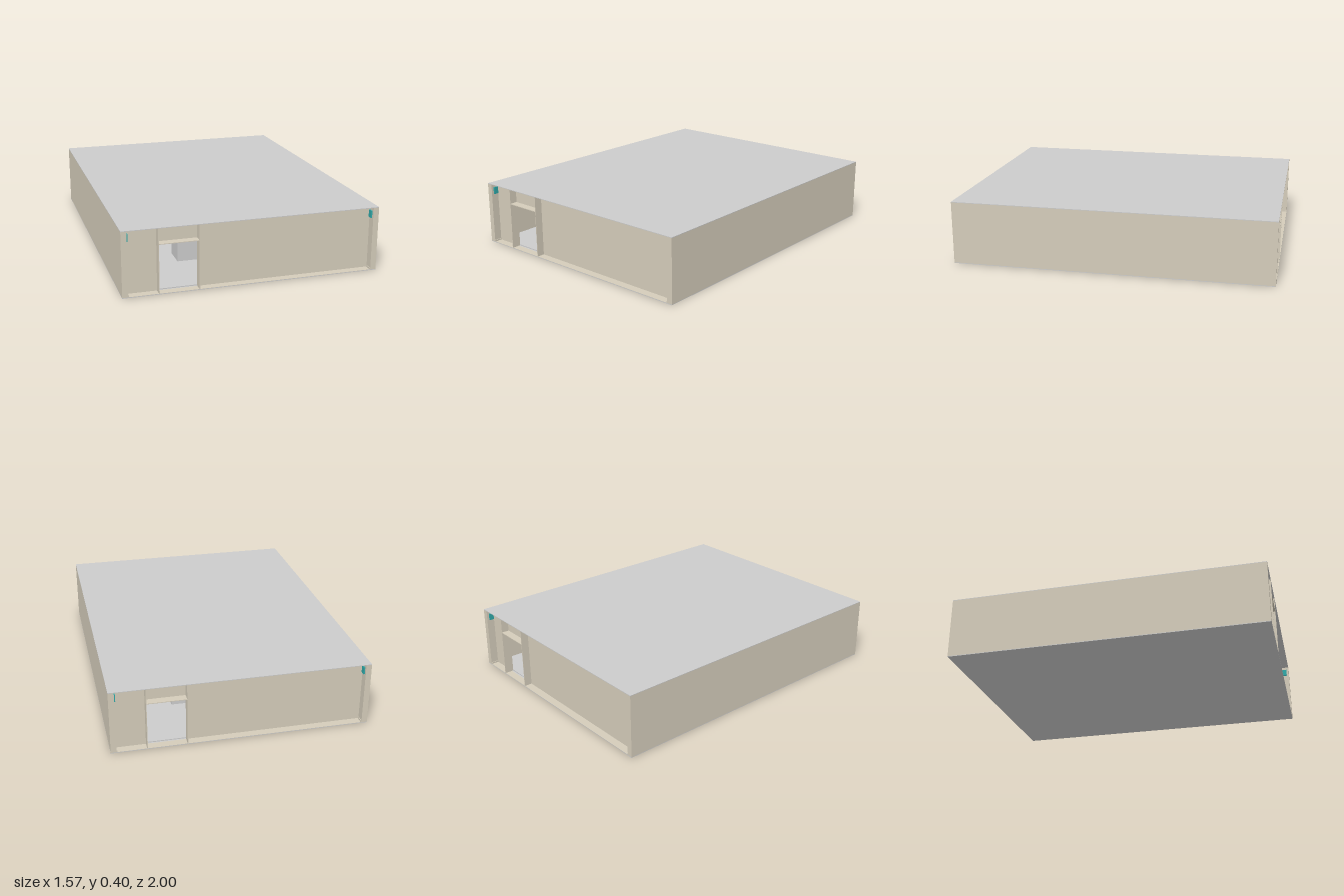
import * as THREE from 'three';

const beige = new THREE.MeshStandardMaterial({ color: 0xd4ccba });
const grey = new THREE.MeshStandardMaterial({ color: 0xcccccc });
const teal = new THREE.MeshStandardMaterial({ color: 0x2fa8a8 });

const W = 0.785, H = 0.4, IN = 0.75, WALL = 0.95; // half width, height, inner side, recessed wall front
const DOOR = [-0.57, -0.33], DOOR_H = 0.3;

// Box given by its min and max along each axis
function box(name, [x0, x1], [y0, y1], [z0, z1], material) {
  const mesh = new THREE.Mesh(new THREE.BoxGeometry(x1 - x0, y1 - y0, z1 - z0), material);
  mesh.position.set((x0 + x1) / 2, (y0 + y1) / 2, (z0 + z1) / 2);
  mesh.name = name;
  return mesh;
}

// Recessed facade with doorway, portal fins, lamps and the furniture behind it
function createEnd(name) {
  const g = new THREE.Group();
  g.name = name;
  const t = 0.004, wallZ = [WALL - 0.01, WALL], recess = [WALL, 1];
  const y = [t, H - t];
  g.add(
    box('wallBesideDoor', [-IN, DOOR[0]], y, wallZ, beige),
    box('wallMain', [DOOR[1], IN], y, wallZ, beige),
    box('wallAboveDoor', DOOR, [DOOR_H, H - t], wallZ, beige),
    box('doorCanopy', DOOR, [DOOR_H, DOOR_H + t], recess, beige),
    box('recessFloor', [-IN, IN], [t, t + 0.001], recess, beige),
  );
  // thin upright fins either side of the doorway
  for (const x of DOOR) g.add(box('doorFin', [x - t / 2, x + t / 2], y, recess, beige));
  // small lamps and curbs on the inner faces of the side walls
  for (const s of [-1, 1]) {
    const span = (w) => (s < 0 ? [-IN, -IN + w] : [IN - w, IN]);
    g.add(box('wallLamp', span(0.008), [0.33, 0.375], [0.955, 0.985], teal));
    g.add(box('curb', span(0.004), [t, 0.015], recess, beige));
  }
  g.add(
    box('sideCabinet', [-IN, -0.69], [0.01, 0.12], [0.3, 0.62], grey),
    box('counter', [-0.345, -0.1], [0.01, 0.215], [0.4, 0.55], grey),
  );
  return g;
}

export function createModel() {
  const model = new THREE.Group();
  model.name = 'building';
  const t = 0.004;

  // Shell
  model.add(
    box('roof', [-W, W], [H - t, H], [-1, 1], grey),
    box('base', [-W, W], [0, t], [-1, 1], grey),
    box('interiorFloor', [-IN, IN], [t, 0.01], [-WALL + 0.01, WALL - 0.01], grey),
    box('leftWall', [IN, W], [t, H - t], [-1, 1], beige),
    box('rightWall', [-W, -IN], [t, H - t], [-1, 1], beige),
  );

  // Matching ends, one turned half a circle
  const front = createEnd('frontEnd');
  const back = createEnd('backEnd');
  back.rotation.y = Math.PI;
  model.add(front, back);
  return model;
}
